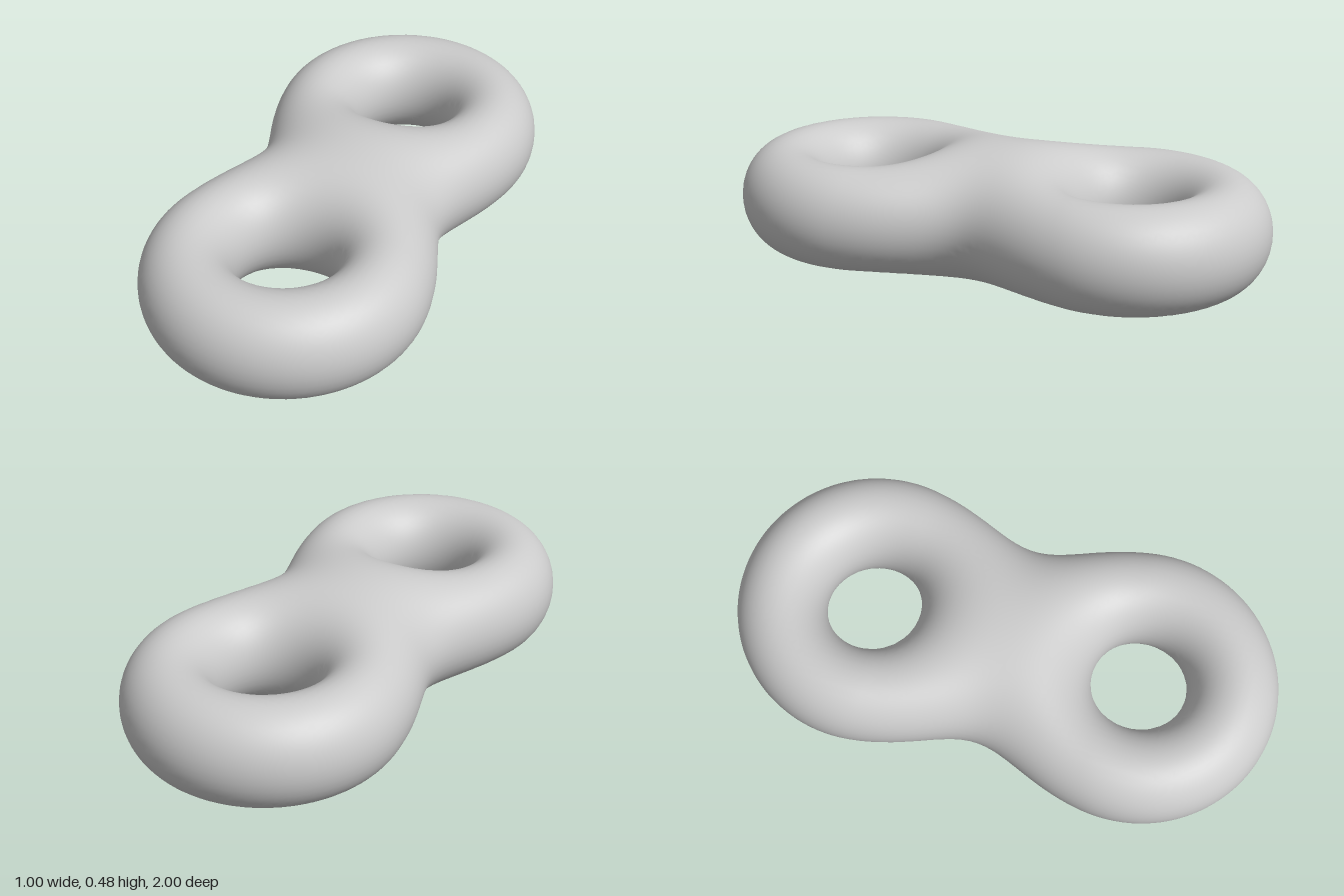
import * as THREE from 'three';

const MID_Y = 0.2425;     // height of the middle plane
const RING_R = 0.3375;    // radius of each ring's core circle
const TUBE_R = 0.1625;    // half width of the tube
const TUBE_H = 0.188;     // half height of the tube
const STEP = 0.03;        // sampling cell size

// Signed field of one ring centred at z = cz (negative inside)
function ring(x, y, z, cz) {
  return Math.hypot(Math.hypot(x, z - cz) - RING_R, y * TUBE_R / TUBE_H) - TUBE_R;
}

// Two rings melted together; the blend widens towards the waist
function field(x, y, z) {
  const a = ring(x, y, z, 0.5), b = ring(x, y, z, -0.5);
  const k = 0.41 + 0.6 * x * x;
  const h = Math.max(k - Math.abs(a - b), 0) / k;
  return Math.min(a, b) - h * h * k / 4;
}

function gradient(p) {
  const e = 1e-4, { x, y, z } = p;
  return new THREE.Vector3(
    field(x + e, y, z) - field(x - e, y, z),
    field(x, y + e, z) - field(x, y - e, z),
    field(x, y, z + e) - field(x, y, z - e)
  ).divideScalar(2 * e);
}

// Quad skin over the zero level of the field: one vertex per crossed cell
function skinGeometry() {
  const half = [19, 11, 36];
  const size = half.map((n) => 2 * n + 1);
  const index = (c) => (c[0] * size[1] + c[1]) * size[2] + c[2];
  const at = (c) => c.map((v, i) => (v - half[i]) * STEP);
  const values = new Float32Array(size[0] * size[1] * size[2]);
  const eachCell = (fn, trim) => {
    for (let i = trim; i < size[0] - trim; i++)
      for (let j = trim; j < size[1] - trim; j++)
        for (let k = trim; k < size[2] - trim; k++) fn([i, j, k]);
  };
  eachCell((c) => { values[index(c)] = field(...at(c)); }, 0);

  const positions = [], normals = [], faces = [];
  const vertexOf = new Map();

  // Vertex for a cell, slid along the gradient until it lies on the surface
  const vertex = (c) => {
    const key = index(c);
    if (!vertexOf.has(key)) {
      const p = new THREE.Vector3(...at(c)).addScalar(STEP / 2);
      for (let n = 0; n < 6; n++) {
        const g = gradient(p);
        p.addScaledVector(g, -field(p.x, p.y, p.z) / Math.max(g.lengthSq(), 0.05));
      }
      vertexOf.set(key, positions.length / 3);
      positions.push(p.x, p.y, p.z);
      normals.push(...gradient(p).normalize().toArray());
    }
    return vertexOf.get(key);
  };

  // One quad around every grid edge that crosses the surface
  eachCell((c) => {
    for (let axis = 0; axis < 3; axis++) {
      const next = c.slice();
      next[axis]++;
      const inside = values[index(c)] < 0;
      if (inside === values[index(next)] < 0) continue;
      const u = (axis + 1) % 3, v = (axis + 2) % 3;
      const quad = [[0, 0], [1, 0], [1, 1], [0, 1]].map(([du, dv]) => {
        const cell = c.slice();
        cell[u] -= du;
        cell[v] -= dv;
        return vertex(cell);
      });
      if (!inside) quad.reverse();
      faces.push(quad[0], quad[1], quad[2], quad[0], quad[2], quad[3]);
    }
  }, 1);

  const geometry = new THREE.BufferGeometry();
  geometry.setAttribute('position', new THREE.Float32BufferAttribute(positions, 3));
  geometry.setAttribute('normal', new THREE.Float32BufferAttribute(normals, 3));
  geometry.setIndex(faces);
  return geometry;
}

export function createModel() {
  const group = new THREE.Group();
  group.name = 'doubleTorus';

  // Smooth two-holed body
  const body = new THREE.Mesh(
    skinGeometry(),
    new THREE.MeshStandardMaterial({ color: 0xcccccc })
  );
  body.name = 'twoHoledBody';
  body.position.y = MID_Y;
  group.add(body);
  return group;
}
